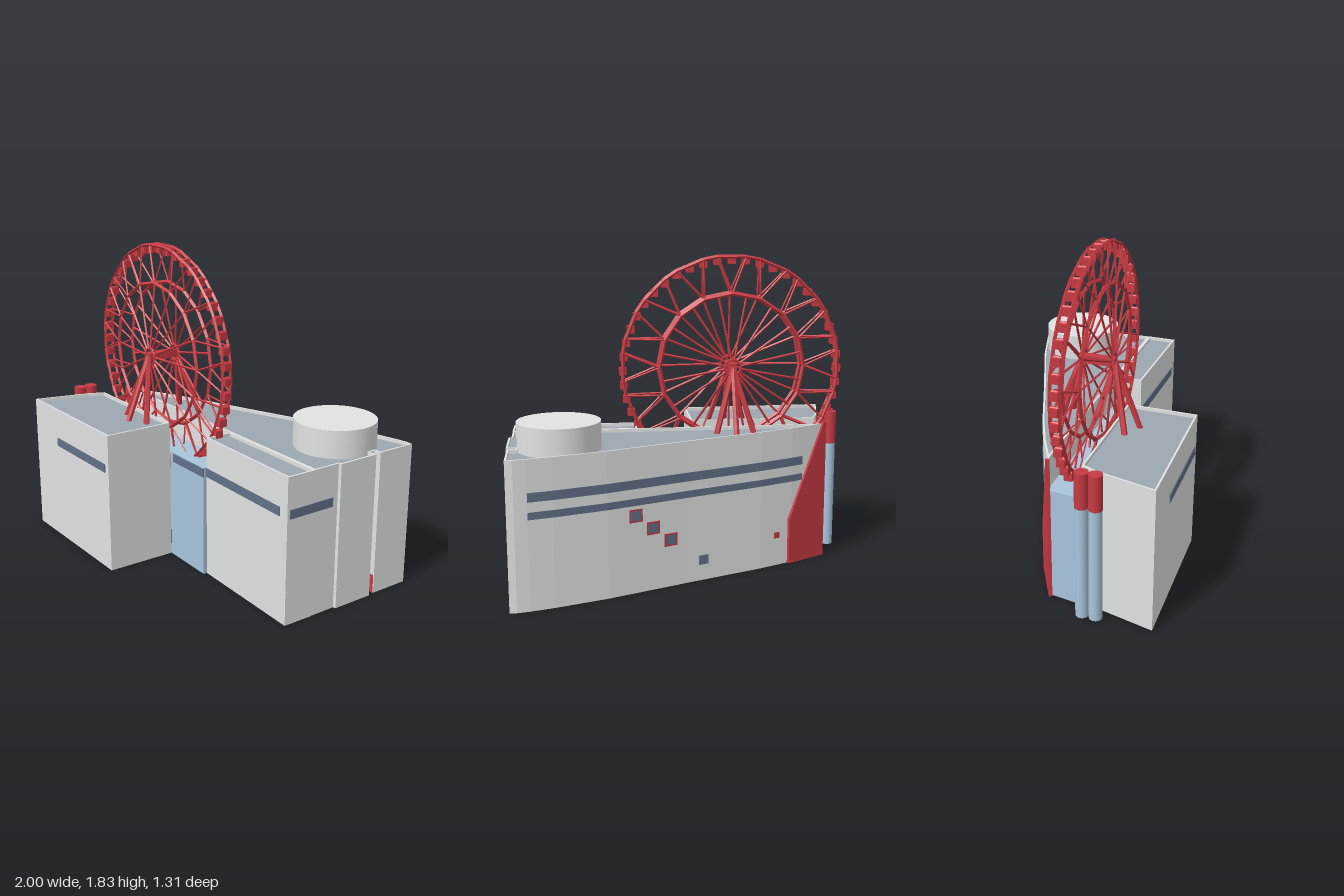
import * as THREE from 'three';
import { mergeGeometries } from 'three/addons/utils/BufferGeometryUtils.js';

const material = (name, color, side = THREE.FrontSide) => {
  const m = new THREE.MeshStandardMaterial({ color, side });
  m.name = name;
  return m;
};

export function createModel() {
  const model = new THREE.Group();
  model.name = 'wheelBuilding';
  const wall = material('concrete grey', 0xe1e3e3, THREE.DoubleSide);
  const roof = material('roof slate', 0x9ca8b0);
  const red = material('red steel', 0xc73a42);
  const glass = material('window blue grey', 0x627189);
  const blue = material('pale blue', 0xa9c5dc, THREE.DoubleSide);

  const add = (name, geo, mat, parent = model) => {
    const mesh = new THREE.Mesh(geo, mat);
    mesh.name = name;
    parent.add(mesh);
    return mesh;
  };

  // Prism over a plan outline given as [x, z] points, counter-clockwise seen from above
  const toShape = pts => new THREE.Shape(pts.map(([x, z]) => new THREE.Vector2(x, -z)));
  const prism = (shape, y0, y1) =>
    new THREE.ExtrudeGeometry(shape, { depth: y1 - y0, bevelEnabled: false })
      .rotateX(-Math.PI / 2).translate(0, y0, 0);

  // Upright sheet along a plan polyline
  const sheet = (name, pts, y0, y1, mat, parent = model) => {
    const pos = [];
    for (let i = 0; i < pts.length - 1; i++) {
      const [[ax, az], [bx, bz]] = [pts[i], pts[i + 1]];
      pos.push(ax, y0, az, bx, y0, bz, bx, y1, bz, ax, y0, az, bx, y1, bz, ax, y1, az);
    }
    const geo = new THREE.BufferGeometry();
    geo.setAttribute('position', new THREE.Float32BufferAttribute(pos, 3));
    geo.computeVertexNormals();
    add(name, geo, mat, parent);
  };

  // Move every outline edge inwards by d
  const inset = (pts, d) => pts.map((p, i) => {
    const a = pts[(i + pts.length - 1) % pts.length], b = pts[(i + 1) % pts.length];
    const n = (s, e) => {
      const dx = e[0] - s[0], dz = e[1] - s[1], l = Math.hypot(dx, dz);
      return [dz / l, -dx / l];
    };
    const [n1, n2] = [n(a, p), n(p, b)];
    const k = d / (1 + n1[0] * n2[0] + n1[1] * n2[1]);
    return [p[0] + (n1[0] + n2[0]) * k, p[1] + (n1[1] + n2[1]) * k];
  });

  // Building block: open-bottomed walls along a run, parapet and sunken roof
  const H = 0.83, ROOF = 0.81, EAVE = 0.8, DECK = 0.655;
  const block = (name, pts, run) => {
    const g = new THREE.Group();
    g.name = name;
    model.add(g);
    const inner = inset(pts, 0.011);
    sheet('walls', run, 0, EAVE, wall, g);
    const rim = toShape(pts);
    rim.holes.push(new THREE.Path(inner.map(([x, z]) => new THREE.Vector2(x, -z))));
    add('parapet', prism(rim, EAVE, H), wall, g);
    add('roof', prism(toShape(inner), EAVE, ROOF), roof, g);
  };

  const backWall = [[0.99, -0.655], [0.95, -0.658], [0.88, -0.645], [0.75, -0.61], [0.46, -0.515],
    [0, -0.33], [-0.45, -0.155], [-0.65, -0.065], [-0.86, 0.045]];
  const rear = [[0.982, 0.036], [0.982, -0.125], [0.998, -0.13], [0.998, -0.378], [0.945, -0.38],
    [0.945, -0.415], [0.99, -0.417], ...backWall, [-0.8, 0.036]];
  block('rearBlock', rear, rear);
  sheet('rearBlockUpperFront', [[-0.8, 0.036], [0.26, 0.036]], DECK, EAVE, wall);
  sheet('rearBlockFront', [[0.26, 0.036], [0.982, 0.036]], 0, EAVE, wall);
  const right = [[0.26, 0.036], [0.26, 0.2], [0.982, 0.212], [0.985, 0.036]];
  block('frontRightBlock', right, right);
  const left = [[-0.85, 0.224], [-0.89, 0.32], [-0.97, 0.65], [-0.085, 0.635], [-0.08, 0.224]];
  block('frontLeftBlock', left, [...left, left[0]]);

  // Lower blue block under the wheel
  sheet('blueRearWall', [[-0.86, 0.045], [-0.8, 0.036], [0.26, 0.036]], 0, DECK, blue);
  sheet('blueSideWall', [[-0.86, 0.045], [-0.885, 0.222], [-0.85, 0.222]], 0, DECK, blue);
  sheet('blueFrontWall', [[-0.08, 0.222], [0.26, 0.222], [0.26, 0.2]], 0, DECK, blue);
  add('blueDeck', prism(toShape([[-0.86, 0.046], [-0.885, 0.222], [0.26, 0.222], [0.26, 0.037], [-0.8, 0.037]]),
    DECK - 0.01, DECK), blue);

  // Roof tank
  add('roofTank', new THREE.CylinderGeometry(0.23, 0.23, 0.16, 48).translate(0.712, 0.887, -0.34), wall);

  // Thin plate on a wall between two plan points
  const plate = (name, a, b, y0, y1, mat, t = 0.009) => {
    const dx = b[0] - a[0], dz = b[1] - a[1];
    const m = add(name, new THREE.BoxGeometry(Math.hypot(dx, dz), y1 - y0, t), mat);
    m.position.set((a[0] + b[0]) / 2, (y0 + y1) / 2, (a[1] + b[1]) / 2);
    m.rotation.y = Math.atan2(-dz, dx);
  };
  plate('frontLeftWindow', [-0.688, 0.646], [-0.12, 0.636], 0.6, 0.65, glass);
  plate('frontRightWindow', [-0.045, 0.222], [0.26, 0.222], 0.6, 0.65, glass);
  plate('frontRightWindow', [0.26, 0.201], [0.922, 0.211], 0.6, 0.65, glass);
  plate('sideWindow', [0.984, 0.197], [0.984, -0.09], 0.6, 0.65, glass);

  // Red faces in the side slot and at the rear wall joint
  sheet('slotDoor', [[0.946, -0.413], [0.989, -0.413]], 0, 0.11, red);
  sheet('rearRedStrip', [[0.925, -0.65], [0.925, -0.662]], 0.12, 0.79, red);

  // Rear window bands follow the bent wall
  const rearZ = x => {
    const i = backWall.findIndex((p, k) => k < backWall.length - 1 && x <= p[0] && x >= backWall[k + 1][0]);
    const [a, b] = [backWall[i], backWall[i + 1]];
    return a[1] + (b[1] - a[1]) * (x - a[0]) / (b[0] - a[0]);
  };
  const bandX = [0.88, 0.75, 0.46, 0, -0.45, -0.65, -0.72];
  for (const [y0, y1] of [[0.6, 0.65], [0.505, 0.545]])
    for (let i = 0; i < bandX.length - 1; i++)
      plate('rearWindowBand', [bandX[i], rearZ(bandX[i])], [bandX[i + 1], rearZ(bandX[i + 1])], y0, y1, glass, 0.006);

  // Small rear windows, three of them with red frames
  const square = (name, x, y, s, mat, t) =>
    plate(name, [x - s / 2, rearZ(x - s / 2)], [x + s / 2, rearZ(x + s / 2)], y - s / 2, y + s / 2, mat, t);
  for (const [x, y] of [[0.305, 0.447], [0.207, 0.362], [0.105, 0.277]]) {
    square('windowFrame', x, y, 0.074, red, 0.006);
    square('smallWindow', x, y, 0.056, glass, 0.0095);
  }
  square('smallWindow', -0.09, 0.123, 0.055, glass, 0.0095);
  square('redHatch', -0.555, 0.188, 0.035, red, 0.0095);

  // Red sloping fin at the narrow corner
  const finShape = new THREE.Shape([[0, 0], [0.275, 0], [0.275, 0.28], [0.02, 0.84], [0, 0.84]]
    .map(p => new THREE.Vector2(...p)));
  const fin = add('cornerFin', new THREE.ExtrudeGeometry(finShape, { depth: 0.02, bevelEnabled: false }), red);
  fin.position.set(-0.88, 0, 0.04);
  fin.rotation.y = Math.atan2(0.13, 0.241);

  // Two pipes with red tops
  for (const z of [0.263, 0.338]) {
    add('pipe', new THREE.CylinderGeometry(0.036, 0.036, 0.66, 20).translate(-0.962, 0.33, z), blue);
    add('pipeTop', new THREE.CylinderGeometry(0.038, 0.038, 0.2, 20).translate(-0.962, 0.76, z), red);
  }

  // Big wheel, built around its own centre
  const wheel = new THREE.Group();
  wheel.name = 'bigWheel';
  wheel.position.set(-0.306, 1.18, 0.122);
  model.add(wheel);
  const V = (r, deg, z) => {
    const a = THREE.MathUtils.degToRad(deg);
    return new THREE.Vector3(r * Math.sin(a), r * Math.cos(a), z);
  };
  const beam = (a, b, r, sides = 4) => {
    const d = b.clone().sub(a), len = d.length();
    const q = new THREE.Quaternion().setFromUnitVectors(new THREE.Vector3(0, 1, 0), d.normalize());
    return new THREE.CylinderGeometry(r, r, len, sides).toNonIndexed()
      .applyQuaternion(q).translate(...a.clone().add(b).multiplyScalar(0.5).toArray());
  };
  const outerRim = [], innerRim = [], braces = [], spokes = [], rungs = [], cabins = [], hub = [], legs = [];
  const RO = 0.647, RI = 0.43, ZO = 0.026, ZI = 0.048, ZH = 0.085;
  for (const s of [-1, 1]) {
    for (let k = 0; k < 16; k++) {
      const a = k * 22.5, spoke = s > 0 ? a : a + 11.25;
      outerRim.push(beam(V(RO, a - 7.5, s * ZO), V(RO, a + 7.5, s * ZO), 0.01));
      outerRim.push(beam(V(RO, a + 7.5, s * ZO), V(RO, a + 15, s * ZO), 0.01));
      innerRim.push(beam(V(RI, a, s * ZI), V(RI, a + 22.5, s * ZI), 0.012));
      for (const e of [-7.5, 7.5]) braces.push(beam(V(RI, a, s * ZI), V(RO, a + e, s * ZO), 0.006));
      // Spokes meet the ring corners in front and the ring sides behind
      spokes.push(beam(V(0.047, spoke, s * ZH), V(s > 0 ? RI : RI * 0.98, spoke, s * ZI), 0.007));
    }
    hub.push(new THREE.TorusGeometry(0.047, 0.008, 6, 24).toNonIndexed().translate(0, 0, s * ZH));
    // Three splayed legs on each side
    for (const [x, z] of [[0, 0.245], [0.11, 0.19], [-0.11, 0.19]])
      legs.push(beam(new THREE.Vector3(0, 0, s * 0.095), new THREE.Vector3(x, -0.375, s * z), 0.017, 6));
  }
  for (let k = 0; k < 48; k++) {
    const p = V(RO - 0.003, k * 7.5, 0);
    rungs.push(beam(V(RO - 0.003, k * 7.5, -ZO), V(RO - 0.003, k * 7.5, ZO), 0.006));
    cabins.push(new THREE.BoxGeometry(0.043, 0.043, 0.046).translate(p.x, p.y - 0.022, 0));
  }
  hub.push(new THREE.BoxGeometry(0.045, 0.045, 0.2).toNonIndexed());
  const parts = { outerRim, innerRim, braces, spokes, rungs, cabins, hub, supportLegs: legs };
  for (const [name, list] of Object.entries(parts)) {
    const geo = mergeGeometries(list);
    geo.computeVertexNormals();
    add(name, geo, red, wheel);
  }
  return model;
}
